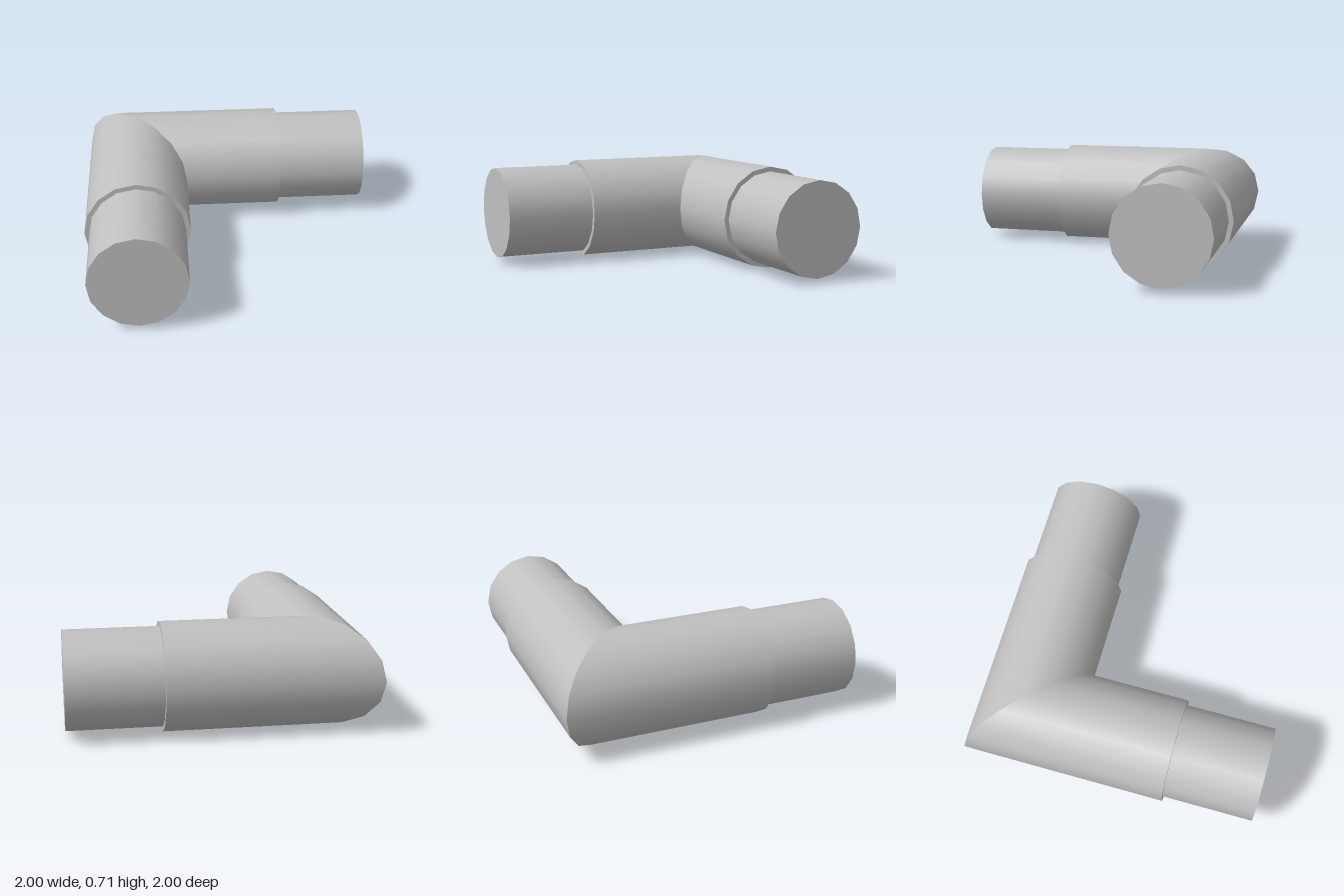
import * as THREE from 'three';

const SIDES = 16;
const OUTER = 0.354;   // sleeve radius
const INNER = 0.322;   // spigot radius
const BEND = -0.647;   // x and z of the corner where the axes meet
const SHOULDER = 0.385 - BEND; // sleeve length measured from the corner
const END = 1 - BEND;          // full arm length

export function createModel() {
  const grey = new THREE.MeshStandardMaterial({ color: 0xc0c0c0 });
  grey.name = 'pipeGrey';

  const mesh = (name, geometry) => {
    const m = new THREE.Mesh(geometry, grey);
    m.name = name;
    return m;
  };

  // One arm runs along +z from the corner; side is the x direction of the inner bend
  const arm = (name, side) => {
    const group = new THREE.Group();
    group.name = name;

    // Sleeve, with its corner end cut to a 45 degree mitre
    const sleeve = new THREE.CylinderGeometry(OUTER, OUTER, SHOULDER, SIDES, 1, true);
    sleeve.rotateX(Math.PI / 2).translate(0, 0, SHOULDER / 2);
    const p = sleeve.attributes.position;
    for (let i = 0; i < p.count; i++) {
      if (p.getZ(i) < SHOULDER / 2) p.setZ(i, side * p.getX(i));
    }
    group.add(mesh('sleeve', sleeve));

    // Step between the sleeve and the narrower spigot
    const step = new THREE.RingGeometry(INNER, OUTER, SIDES);
    group.add(mesh('shoulder', step.translate(0, 0, SHOULDER)));

    // Spigot and its flat end
    const length = END - SHOULDER;
    const spigot = new THREE.CylinderGeometry(INNER, INNER, length, SIDES, 1, true);
    spigot.rotateX(Math.PI / 2).translate(0, 0, SHOULDER + length / 2);
    group.add(mesh('spigot', spigot));
    const cap = new THREE.CircleGeometry(INNER, SIDES);
    group.add(mesh('endCap', cap.translate(0, 0, END)));

    group.position.set(BEND, OUTER, BEND);
    return group;
  };

  const model = new THREE.Group();
  model.name = 'pipeElbow';
  const frontArm = arm('frontArm', 1);
  const sideArm = arm('sideArm', -1);
  sideArm.rotation.y = Math.PI / 2;
  model.add(frontArm, sideArm);
  return model;
}
